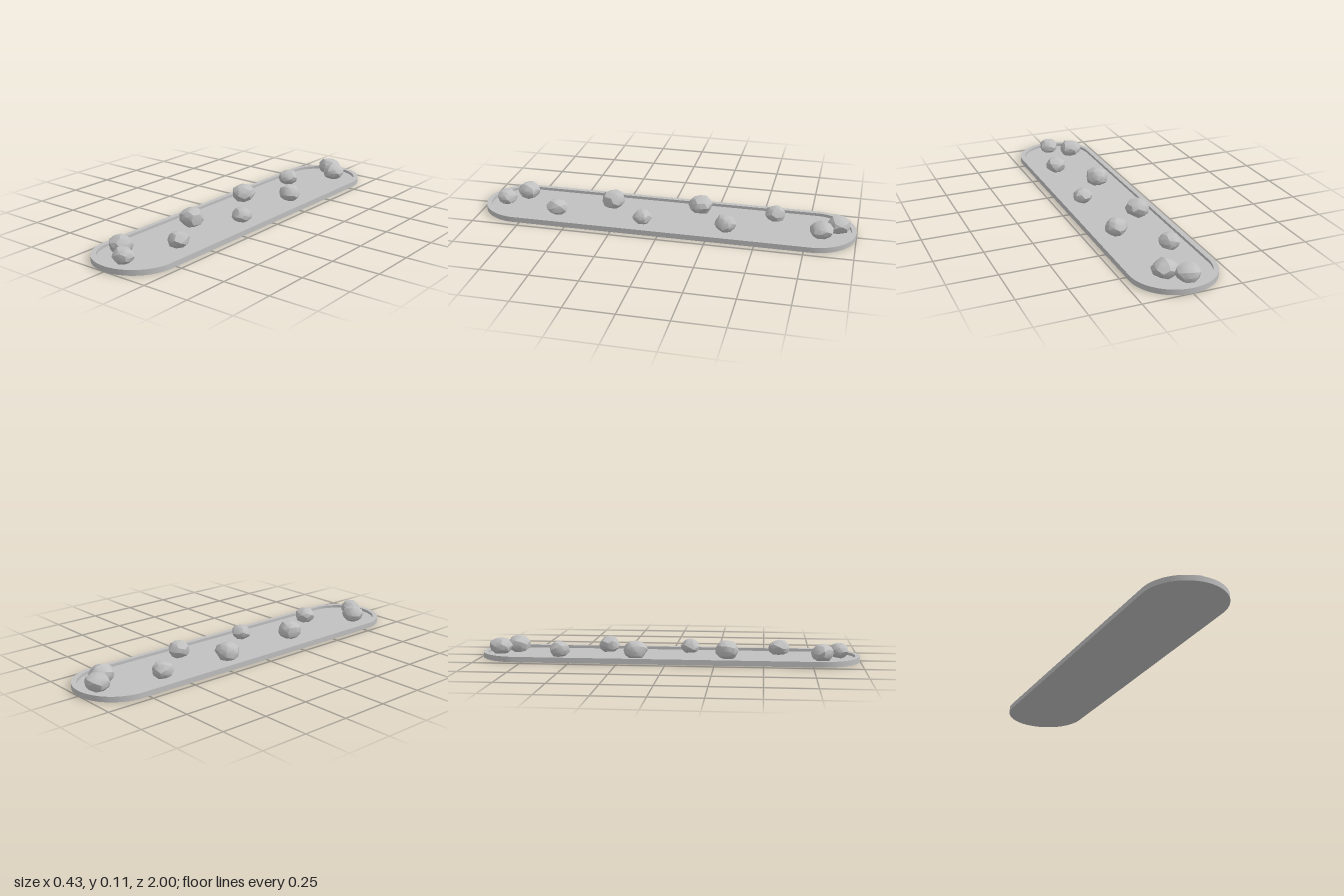
import * as THREE from 'three';
import { toCreasedNormals } from 'three/addons/utils/BufferGeometryUtils.js';

const HALF_WIDTH = 0.217, HALF_LENGTH = 1, RIM = 0.025;
const TRAY_HEIGHT = 0.028, FLOOR_HEIGHT = 0.013;

// Rounded-end outline, inset evenly from the tray's outer edge
function outline(Type, inset) {
  const r = HALF_WIDTH - inset, c = HALF_LENGTH - HALF_WIDTH;
  const path = new Type();
  path.moveTo(r, -c);
  path.lineTo(r, c);
  path.absarc(0, c, r, 0, Math.PI, false);
  path.lineTo(-r, -c);
  path.absarc(0, -c, r, Math.PI, Math.PI * 2, false);
  return path;
}

function slab(shape, height) {
  const geo = new THREE.ExtrudeGeometry(shape, { depth: height, bevelEnabled: false, curveSegments: 32 });
  geo.rotateX(-Math.PI / 2);
  return toCreasedNormals(geo, 0.5);
}

// Repeatable value in 0..1 for a corner, so shared corners move together
function hash(v, seed) {
  const s = Math.sin(Math.round(v.x * 50) * 12.99 + Math.round(v.y * 50) * 78.23
    + Math.round(v.z * 50) * 37.72 + seed * 5.17) * 43758.5453;
  return s - Math.floor(s);
}

// Squat irregular pebble resting on the tray floor
function pebbleGeometry(radius, top, seed) {
  const geo = new THREE.IcosahedronGeometry(1, 1);
  geo.deleteAttribute('uv');
  const pos = geo.attributes.position, v = new THREE.Vector3();
  for (let i = 0; i < pos.count; i++) {
    v.fromBufferAttribute(pos, i);
    v.multiplyScalar(0.9 + 0.16 * hash(v, seed));
    pos.setXYZ(i, v.x, Math.max(v.y, -0.85), v.z);
  }
  geo.rotateY(seed * 1.3);
  geo.computeBoundingBox();
  const { min, max } = geo.boundingBox;
  const sy = (top - FLOOR_HEIGHT) / (max.y - min.y);
  const sx = 2 * radius / (max.x - min.x), sz = 2 * radius / (max.z - min.z);
  geo.translate(-(min.x + max.x) / 2, -min.y, -(min.z + max.z) / 2);
  geo.scale(sx, sy, sz);
  return toCreasedNormals(geo, 0.5);
}

export function createModel() {
  const model = new THREE.Group();
  model.name = 'pebbleTray';
  const stone = new THREE.MeshStandardMaterial({ color: 0xc0c0c0 });
  stone.name = 'lightGrey';

  const add = (name, geo) => {
    const mesh = new THREE.Mesh(geo, stone);
    mesh.name = name;
    model.add(mesh);
    return mesh;
  };

  // Tray: raised rim around a recessed floor
  const rim = outline(THREE.Shape, 0);
  rim.holes.push(outline(THREE.Path, RIM));
  add('trayRim', slab(rim, TRAY_HEIGHT));
  add('trayFloor', slab(outline(THREE.Shape, RIM), FLOOR_HEIGHT));

  // Pebbles: x, z, radius, top height
  const pebbles = [
    [-0.02, -0.905, 0.06, 0.1], [0.06, -0.825, 0.06, 0.105],
    [-0.085, -0.57, 0.052, 0.095], [0.09, -0.335, 0.057, 0.101],
    [-0.103, -0.165, 0.063, 0.106], [0.098, 0.105, 0.053, 0.09],
    [-0.065, 0.31, 0.061, 0.108], [0.08, 0.58, 0.056, 0.094],
    [-0.093, 0.8, 0.059, 0.1], [0.016, 0.89, 0.051, 0.091],
  ];
  pebbles.forEach(([x, z, radius, top], i) => {
    add('pebble' + (i + 1), pebbleGeometry(radius, top, i + 1)).position.set(x, FLOOR_HEIGHT, z);
  });

  return model;
}
